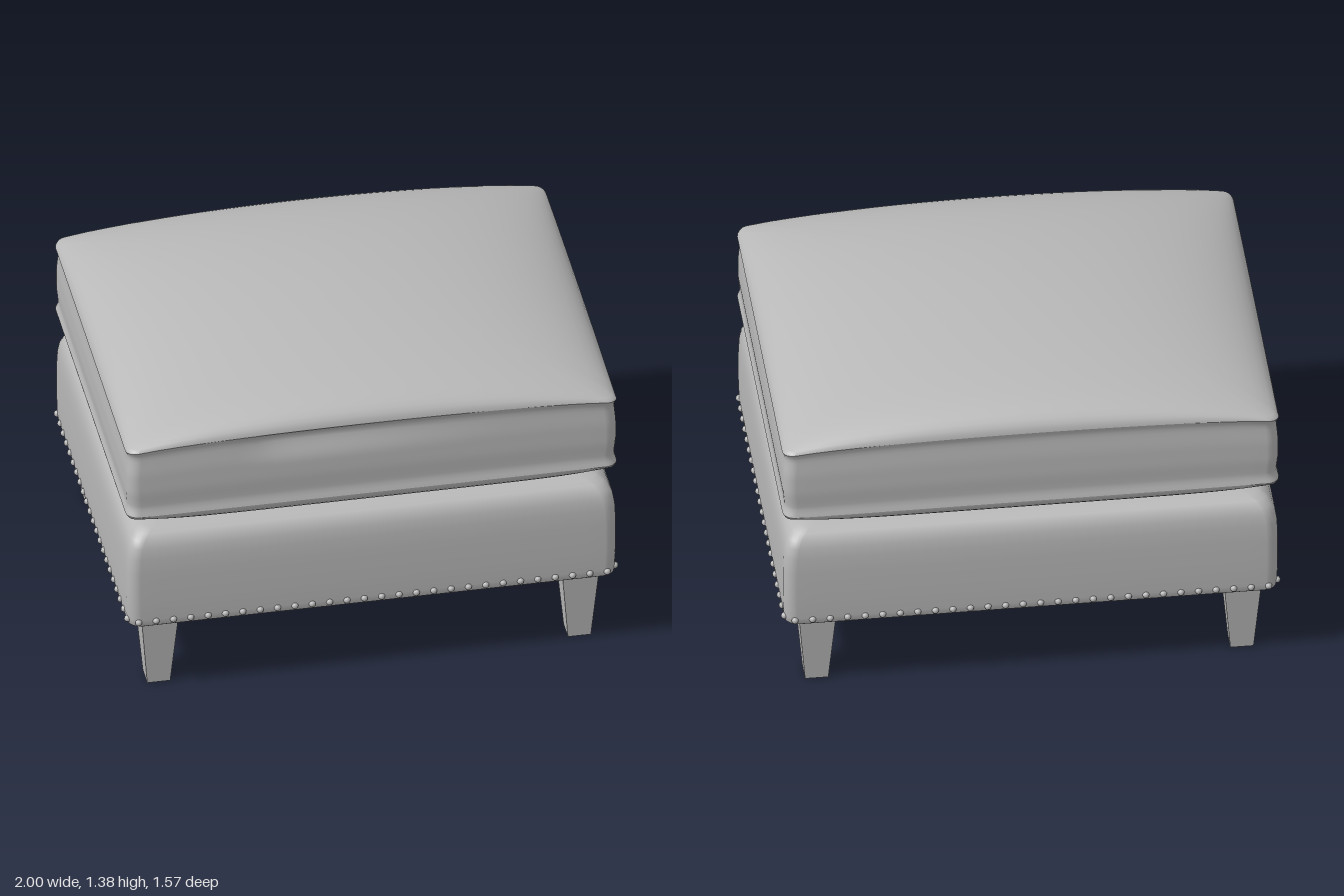
import * as THREE from 'three';

// Counter-clockwise rounded rectangle (seen from above) as [x, z] pairs
function outline(a, b, r) {
  const pts = [], corners = [[1, -1], [-1, -1], [-1, 1], [1, 1]];
  const arc = 6, side = 24;
  corners.forEach(([sx, sz], k) => {
    for (let i = 0; i <= arc; i++) {
      const t = (k + i / arc) * Math.PI / 2;
      pts.push([sx * (a - r) + r * Math.cos(t), sz * (b - r) - r * Math.sin(t)]);
    }
    const [nx, nz] = corners[(k + 1) % 4];
    const t = (k + 1) * Math.PI / 2;
    const p = pts[pts.length - 1];
    const q = [nx * (a - r) + r * Math.cos(t), nz * (b - r) - r * Math.sin(t)];
    for (let i = 1; i < side; i++) {
      const f = i / side;
      pts.push([p[0] + (q[0] - p[0]) * f, p[1] + (q[1] - p[1]) * f]);
    }
  });
  return pts;
}

// Skin closed rings of [x, y, z] points, ordered from the bottom to the top
function loft(rings) {
  const n = rings[0].length, index = [];
  for (let i = 0; i < rings.length - 1; i++) {
    for (let j = 0; j < n; j++) {
      const a = i * n + j, b = i * n + (j + 1) % n;
      index.push(a, b, a + n, b, b + n, a + n);
    }
  }
  const g = new THREE.BufferGeometry();
  g.setAttribute('position', new THREE.Float32BufferAttribute(rings.flat(2), 3));
  g.setIndex(index);
  g.computeVertexNormals();
  return g;
}

export function createModel() {
  const group = new THREE.Group();
  group.name = 'ottoman';
  const grey = new THREE.MeshStandardMaterial({ color: 0xb8b8b8 });
  grey.name = 'grey upholstery';
  const add = (name, geometry, parent = group) => {
    const mesh = new THREE.Mesh(geometry, grey);
    mesh.name = name;
    parent.add(mesh);
    return mesh;
  };

  // Seat cushion: crowned top, boxed side with pinched seams, rounded underside
  const A = 0.996, B = 0.778, R = 0.05, LOW = 0.86, STEPS = 18;
  const edge = outline(A, B, R);
  const root = (v) => Math.sqrt(Math.max(0, v));
  const seamY = (x) => 1.155 + 0.04 * root(1 - (x / A) ** 2);
  const topRings = [], bottomRings = [], sideRings = [];
  for (let i = 0; i <= STEPS; i++) {
    const t = i / STEPS * Math.PI / 2, s = Math.cos(t);
    topRings.push(edge.map(([x, z]) => {
      const u = x * s / A, v = z * s / B;
      const crown = i === 0 ? 0 : 0.19 * root((1 - u * u) * (1 - v * v));
      return [x * s, seamY(x * s) + crown, z * s];
    }));
    const w = Math.sin(t);
    bottomRings.push(edge.map(([x, z]) => {
      const u = x * w / A, v = z * w / B;
      const sag = i === STEPS ? 0 : 0.1 * root((1 - u ** 6) * (1 - v ** 6));
      return [x * w, LOW - sag, z * w];
    }));
  }
  const smooth = THREE.MathUtils.smoothstep;
  for (let i = 0; i <= 20; i++) {
    const t = i / 20;
    // Cloth pulls in just beside both seams
    const pinch = 0.009 * (smooth(t, 0, 0.1) - smooth(t, 0.1, 0.4) * 0.7
      + smooth(t, 0.6, 0.92) * 0.7 - smooth(t, 0.92, 1));
    sideRings.push(outline(A - pinch, B - pinch, R).map(([x, z]) => {
      // Soft fold under the front seam
      const fold = z > B - 0.03
        ? 0.018 * smooth(x, -0.55, -0.38) * (1 - smooth(x, -0.3, 0.6))
          * smooth(t, 0.55, 0.9) * (1 - smooth(t, 0.92, 1)) : 0;
      return [x, LOW + (seamY(x) - LOW) * t, z - fold];
    }));
  }
  const cushion = new THREE.Group();
  cushion.name = 'cushion';
  group.add(cushion);
  add('cushionTop', loft(topRings), cushion);
  add('cushionSide', loft(sideRings), cushion);
  add('cushionUnderside', loft(bottomRings), cushion);

  // Upholstered base: [inset, height] profile with a soft top edge
  const profile = [
    [0.014, 0.325], [0.006, 0.332], [0.003, 0.36], [0, 0.45], [0, 0.58], [0.003, 0.65],
    [0.010, 0.695], [0.022, 0.725], [0.042, 0.748], [0.07, 0.762], [0.11, 0.77],
    [0.2, 0.776], [0.4, 0.783], [0.6, 0.785],
  ];
  const baseRings = profile.map(([inset, y]) =>
    outline(0.992 - inset, 0.778 - inset, 0.05).map(([x, z]) => [x, y, z]));
  baseRings.push(baseRings[baseRings.length - 1].map(() => [0, 0.785, 0]));
  add('base', loft(baseRings));
  add('baseUnderside', loft([baseRings[0].map(() => [0, 0.325, 0]), baseRings[0]]));

  // Nailhead trim around the lower edge
  const nails = new THREE.Group();
  nails.name = 'nailheadTrim';
  group.add(nails);
  const nailGeometry = new THREE.SphereGeometry(0.014, 10, 8);
  const nailRow = (count, half, place) => {
    for (let i = 0; i < count; i++) {
      const p = -half + 2 * half * i / (count - 1);
      for (const s of [-1, 1]) add('nailhead', nailGeometry, nails).position.set(...place(p, s));
    }
  };
  nailRow(28, 0.95, (p, s) => [p, 0.352, s * 0.774]);
  nailRow(22, 0.735, (p, s) => [s * 0.988, 0.352, p]);

  // Four square tapered legs
  const legGeometry = new THREE.CylinderGeometry(
    0.075 * Math.SQRT2, 0.0465 * Math.SQRT2, 0.326, 4).rotateY(Math.PI / 4).toNonIndexed();
  legGeometry.computeVertexNormals();
  for (const x of [-1, 1]) {
    for (const z of [-1, 1]) {
      const name = (z > 0 ? 'front' : 'back') + (x > 0 ? 'Left' : 'Right') + 'Leg';
      add(name, legGeometry).position.set(x * 0.853, 0.163, z * 0.645);
    }
  }
  return group;
}
